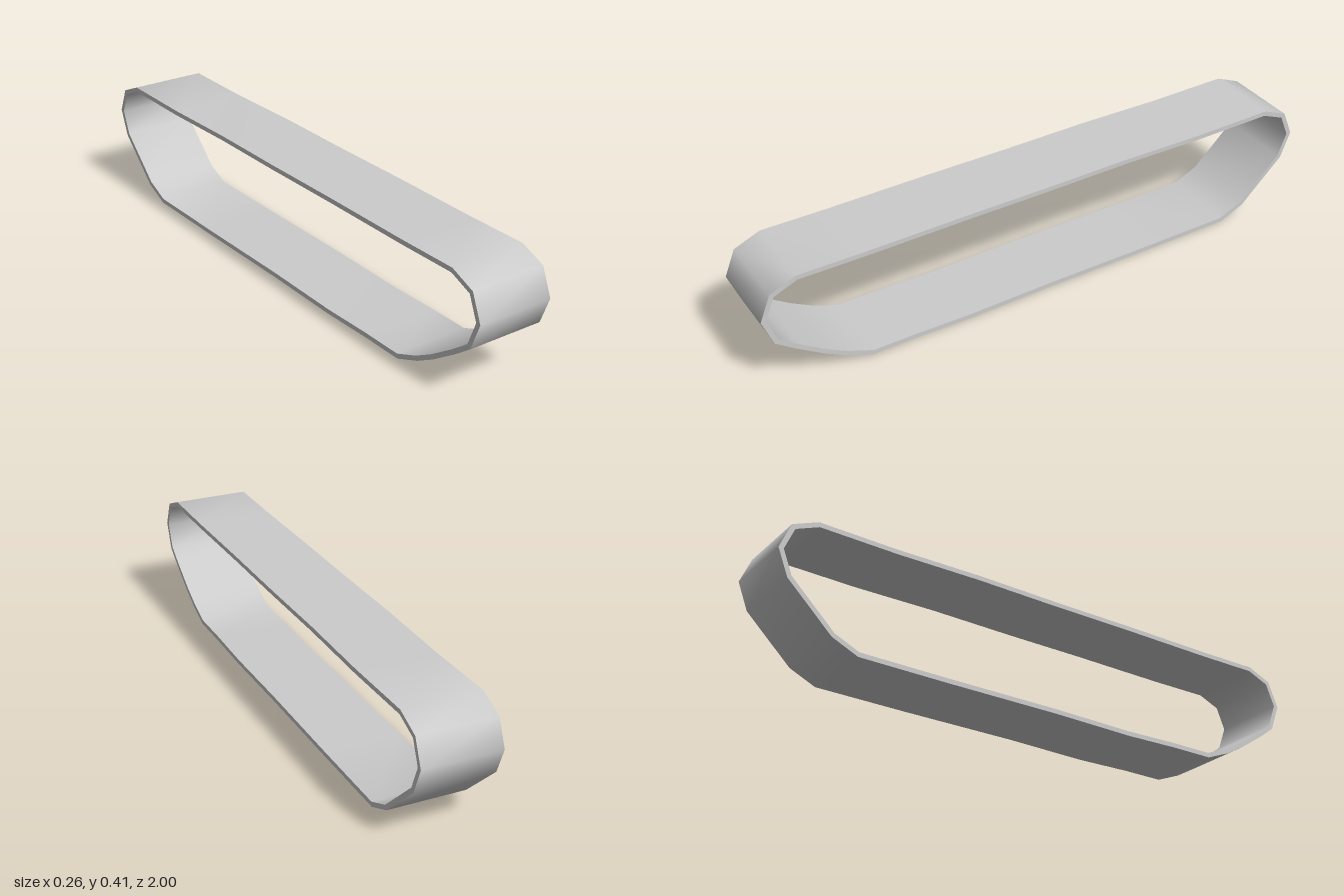
import * as THREE from 'three';
import { toCreasedNormals } from 'three/addons/utils/BufferGeometryUtils.js';

const WIDTH = 0.264;
const THICKNESS = 0.016;

// Outer side profile as [z, y], counter-clockwise, with slight sag along the runs
const PROFILE = [
  [0.65, 0.005], [0.5, 0.005], [0.3, 0], [0, 0.004], [-0.4, 0.002], [-0.72, 0.003],
  [-0.81, 0.043], [-0.965, 0.19], [-1, 0.28], [-0.963, 0.368], [-0.875, 0.405],
  [-0.6, 0.402], [-0.3, 0.407], [0, 0.405], [0.3, 0.406], [0.65, 0.404], [0.875, 0.406],
  [0.963, 0.37], [1, 0.28], [0.965, 0.188], [0.9, 0.14], [0.81, 0.08], [0.74, 0.041],
].map(([z, y]) => new THREE.Vector2(z, y)).reverse();

// Mitred inward offset of a closed counter-clockwise loop
function inset(loop, distance) {
  const count = loop.length;
  const inward = (a, b) => new THREE.Vector2(a.y - b.y, b.x - a.x).normalize();
  return loop.map((p, i) => {
    const n1 = inward(loop[(i + count - 1) % count], p);
    const n2 = inward(p, loop[(i + 1) % count]);
    const scale = distance / (1 + n1.dot(n2));
    return p.clone().addScaledVector(n1.add(n2), scale);
  });
}

export function createModel() {
  const model = new THREE.Group();
  model.name = 'trackModel';

  // Closed belt: outer loop with the inner loop cut out
  const shape = new THREE.Shape(PROFILE);
  shape.holes.push(new THREE.Path(inset(PROFILE, THICKNESS)));
  const belt = new THREE.ExtrudeGeometry(shape, { depth: WIDTH, bevelEnabled: false });
  belt.translate(0, 0, -WIDTH / 2);
  belt.rotateY(-Math.PI / 2);

  // Smooth around the loop, sharp at the side rims
  const track = new THREE.Mesh(
    toCreasedNormals(belt, 1.2),
    new THREE.MeshStandardMaterial({ color: 0xcccccc }),
  );
  track.name = 'trackBelt';
  model.add(track);
  return model;
}
